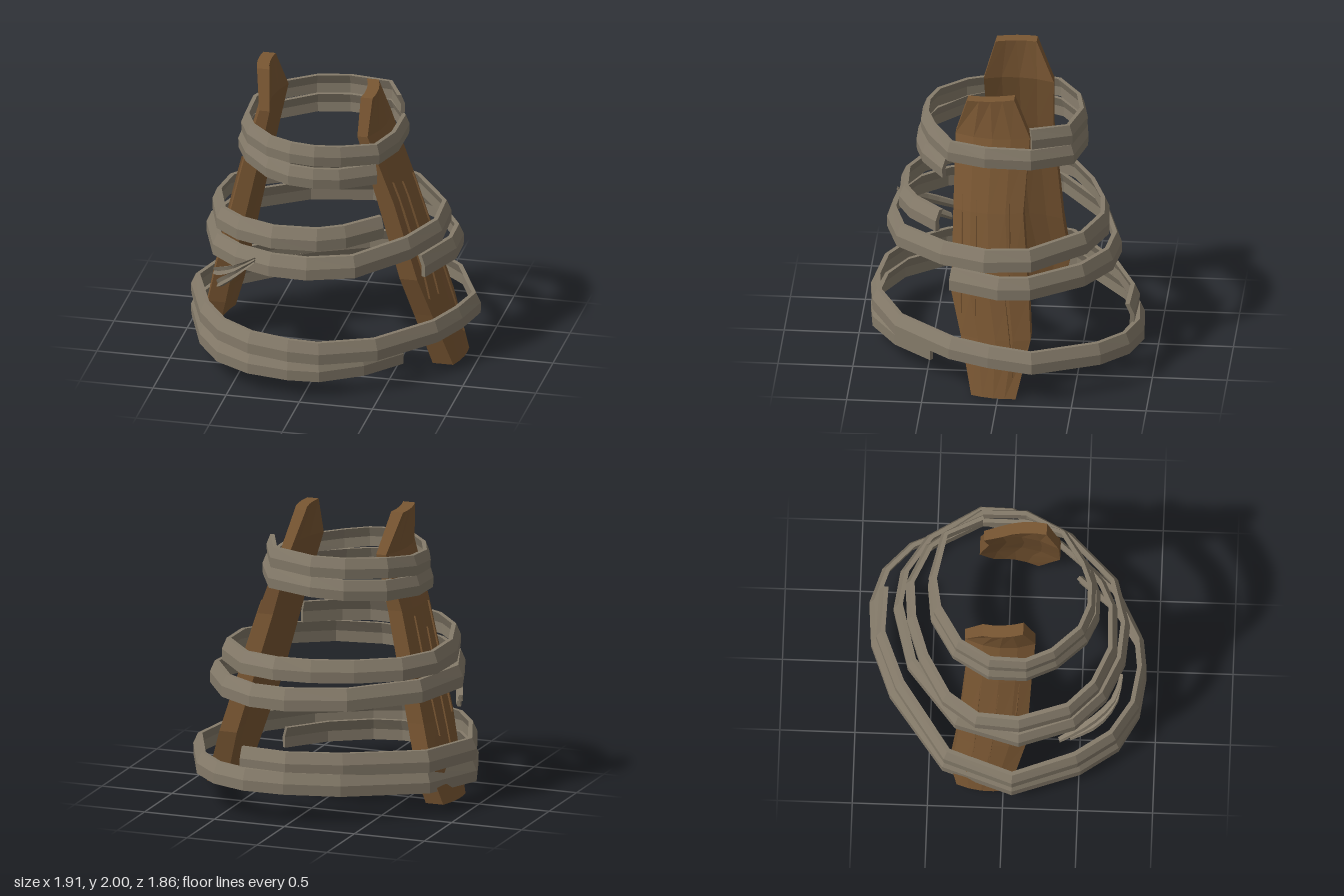
import * as THREE from 'three';

const wood = new THREE.MeshStandardMaterial({ color: 0x7a5733 });
wood.name = 'brown wood';
const bark = new THREE.MeshStandardMaterial({ color: 0x857b6a });
bark.name = 'grey strap';

const V = (x, y, z) => new THREE.Vector3(x, y, z);

// Closed solid through a list of cross-sections, flat shaded.
// Each section runs along one side and back along the other, so caps are strips.
function loft(rings) {
  const out = [];
  const tri = (...p) => p.forEach((v) => out.push(v.x, v.y, v.z));
  const n = rings[0].length;
  for (let i = 0; i < rings.length - 1; i++) {
    const a = rings[i], b = rings[i + 1];
    for (let j = 0; j < n; j++) {
      const k = (j + 1) % n;
      tri(a[j], a[k], b[k]);
      tri(a[j], b[k], b[j]);
    }
  }
  const first = rings[0], last = rings[rings.length - 1];
  for (let j = 0; j < n / 2 - 1; j++) {
    const [p, q, r, s] = [j, j + 1, n - 2 - j, n - 1 - j];
    tri(first[p], first[r], first[q]);
    tri(first[p], first[s], first[r]);
    tri(last[p], last[q], last[r]);
    tri(last[p], last[r], last[s]);
  }
  const geo = new THREE.BufferGeometry();
  geo.setAttribute('position', new THREE.Float32BufferAttribute(out, 3));
  geo.computeVertexNormals();
  return geo;
}

function add(group, name, geo, material) {
  const mesh = new THREE.Mesh(geo, material);
  mesh.name = name;
  group.add(mesh);
}

// Strap swept along a path: tall thin section with a crease along its middle
function strap(points, height, thick, lean, taper = () => 1) {
  const path = points.map((p) => V(...p));
  const end = path.length - 1, bulge = 0.014, shift = 0.004;
  return loft(path.map((p, i) => {
    const before = path[Math.max(i - 1, 0)], after = path[Math.min(i + 1, end)];
    const t = after.clone().sub(before);
    const out = V(-t.z, 0, t.x).normalize();
    const s = taper(i / end), h = (height / 2) * s, w = (thick / 2) * s;
    const at = (o, y) => p.clone().addScaledVector(out, o).add(V(0, y, 0));
    return [
      at(shift + w - lean, h), at(w + bulge, 0), at(shift + w + lean * 0.4, -h),
      at(shift - w + lean * 0.4, -h), at(-w + bulge, 0), at(shift - w - lean, h),
    ];
  }));
}

// Inner face of a bowed plank at depth z; rows are
// [y, x of inner front edge, thickness, front z, back z, twist]
function innerX([, x, , z1, z0, twist], side, z) {
  const f = (z1 - z) / (z1 - z0), sag = 0.22 * (z1 - z0) ** 2;
  return x + twist * f + side * sag * 4 * f * (1 - f);
}

function plank(rows, side) {
  return loft(rows.map((row) => {
    const [y, , thick, z1, z0] = row;
    const inner = [0, 0.25, 0.5, 0.75, 1].map((f) => {
      const z = z1 + (z0 - z1) * f;
      return V(innerX(row, side, z), y, z);
    });
    const outer = inner.map((p) => V(p.x + side * thick, y, p.z));
    return side > 0 ? [...outer, ...inner.reverse()] : [...inner, ...outer.reverse()];
  }));
}

// Tapered splinter standing up from a plank's outer face
function splinter(rows, side, zHigh, zLow, yLow, yHigh) {
  const rings = [];
  for (let i = 0; i <= 8; i++) {
    const f = i / 8, y = yLow + (yHigh - yLow) * f, z = zLow + (zHigh - zLow) * f;
    const k = rows.filter((r) => r[0] <= y).length - 1;
    const a = rows[k], c = rows[k + 1], g = (y - a[0]) / (c[0] - a[0]);
    const row = a.map((v, j) => v + (c[j] - v) * g);
    const x = innerX(row, side, z) + side * row[2], w = 0.001 + 0.007 * Math.sin(Math.PI * f);
    const ring = [
      V(x + side * 0.01, y, z + w * 0.3), V(x + side * 0.01, y, z - w * 0.3),
      V(x - side * 0.014, y, z - w), V(x - side * 0.014, y, z + w),
    ];
    rings.push(side > 0 ? ring : ring.reverse());
  }
  return loft(rings);
}

export function createModel() {
  const model = new THREE.Group();
  model.name = 'strappedPlanks';

  // Two bowed planks leaning toward each other, bent upright near the top
  const leftRows = [
    [0, 0.72, 0.14, 0.18, -0.12, 0.04], [0.38, 0.61, 0.125, 0.26, -0.21, 0.04],
    [0.66, 0.53, 0.12, 0.33, -0.19, 0.04], [1.2, 0.38, 0.11, 0.33, -0.14, 0.04],
    [1.67, 0.24, 0.07, 0.33, -0.17, 0.04], [1.92, 0.245, 0.08, 0.25, -0.06, -0.03],
  ];
  const rightRows = [
    [0.06, -0.77, 0.125, 0.02, -0.31, 0.03], [0.25, -0.72, 0.12, 0.08, -0.35, 0.03],
    [0.6, -0.64, 0.115, 0.15, -0.31, 0.03], [1.35, -0.47, 0.1, 0.18, -0.26, 0.02],
    [1.73, -0.39, 0.07, 0.2, -0.27, 0.02], [2, -0.41, 0.085, 0.12, -0.15, -0.02],
  ];
  add(model, 'leftPlank', plank(leftRows, 1), wood);
  add(model, 'rightPlank', plank(rightRows, -1), wood);

  // Splinters along the outer faces
  [[0.27, 0.26, 0.5, 1.33], [0.17, 0.16, 0.5, 1.3], [-0.05, -0.06, 0.75, 1.27], [-0.03, -0.1, 0.13, 0.7]]
    .forEach((s) => add(model, 'leftSplinter', splinter(leftRows, 1, ...s), wood));
  [[0.1, 0.06, 0.6, 1.34], [-0.04, -0.1, 0.35, 1.2], [-0.16, -0.2, 0.5, 1.3]]
    .forEach((s) => add(model, 'rightSplinter', splinter(rightRows, -1, ...s), wood));

  // Three coiled straps
  const lower = [
    [0.37, 0.4, -0.84], [0.05, 0.395, -0.85], [-0.3, 0.385, -0.71], [-0.78, 0.37, -0.38],
    [-0.93, 0.36, 0.06], [-0.77, 0.355, 0.48], [-0.6, 0.35, 0.72], [-0.37, 0.34, 0.86], [-0.1, 0.325, 0.9],
    [0.1, 0.31, 0.875], [0.45, 0.3, 0.7], [0.77, 0.3, 0.32], [0.87, 0.295, 0.06], [0.925, 0.285, -0.225],
    [0.73, 0.28, -0.66], [0.55, 0.275, -0.83], [0.32, 0.27, -0.905], [0.05, 0.265, -0.885],
    [-0.3, 0.25, -0.75], [-0.785, 0.23, -0.39], [-0.93, 0.21, 0.06], [-0.77, 0.205, 0.5],
    [-0.6, 0.2, 0.74], [-0.37, 0.195, 0.865], [-0.1, 0.19, 0.9], [0.1, 0.185, 0.875],
    [0.36, 0.185, 0.71], [0.57, 0.185, 0.46],
  ];
  const middle = [
    [0.68, 0.77, 0.33], [0.815, 0.775, 0], [0.815, 0.785, -0.2], [0.6, 0.795, -0.54], [0.35, 0.795, -0.7],
    [0.1, 0.8, -0.735], [-0.3, 0.81, -0.63], [-0.7, 0.83, -0.31], [-0.815, 0.84, 0.1], [-0.69, 0.85, 0.46],
    [-0.5, 0.865, 0.65], [-0.25, 0.875, 0.765], [0, 0.88, 0.785], [0.3, 0.89, 0.7], [0.6, 0.92, 0.39],
    [0.74, 0.94, 0.1], [0.73, 0.95, -0.2], [0.47, 0.97, -0.54], [0.2, 0.985, -0.66], [-0.05, 0.985, -0.64],
    [-0.32, 0.985, -0.55], [-0.6, 0.99, -0.39], [-0.75, 1, -0.18], [-0.775, 1.015, 0.1],
    [-0.67, 1.03, 0.43], [-0.5, 1.045, 0.6], [-0.25, 1.055, 0.71], [0.05, 1.06, 0.7],
    [0.22, 1.065, 0.62], [0.43, 1.075, 0.43],
  ];
  const upper = [
    [0.42, 1.7, -0.18], [0.3, 1.685, -0.43], [0, 1.67, -0.5], [-0.22, 1.665, -0.46], [-0.46, 1.655, -0.31],
    [-0.57, 1.63, -0.1], [-0.57, 1.61, 0.14], [-0.49, 1.615, 0.32], [-0.32, 1.62, 0.5], [-0.16, 1.615, 0.56],
    [0, 1.605, 0.56], [0.16, 1.59, 0.5], [0.38, 1.57, 0.36], [0.45, 1.565, 0.12], [0.45, 1.56, -0.18],
    [0.31, 1.545, -0.44], [0, 1.53, -0.505], [-0.22, 1.52, -0.48], [-0.46, 1.505, -0.33],
    [-0.59, 1.495, -0.1], [-0.59, 1.49, 0.14], [-0.5, 1.485, 0.33], [-0.32, 1.475, 0.52],
    [-0.16, 1.465, 0.59], [0, 1.455, 0.59], [0.16, 1.445, 0.54], [0.38, 1.44, 0.39],
  ];
  add(model, 'lowerStrap', strap(lower, 0.145, 0.03, 0.022), bark);
  add(model, 'middleStrap', strap(middle, 0.15, 0.03, 0.022), bark);
  add(model, 'upperStrap', strap(upper, 0.135, 0.028, 0.016), bark);

  // Frayed strands hanging from the middle strap
  const fray = (f) => 0.3 + 0.7 * Math.sin(Math.PI * Math.min(1, f * 0.8));
  [
    [[-0.36, 0.91, 0.78], [-0.5, 0.81, 0.73], [-0.63, 0.71, 0.58], [-0.73, 0.61, 0.37]],
    [[-0.36, 0.89, 0.78], [-0.5, 0.77, 0.74], [-0.62, 0.65, 0.62], [-0.69, 0.55, 0.44]],
  ].forEach((pts) => {
    const path = new THREE.CatmullRomCurve3(pts.map((p) => V(...p))).getSpacedPoints(7);
    add(model, 'frayedStrand', strap(path.map((p) => p.toArray()), 0.06, 0.034, 0, fray), bark);
  });

  return model;
}
